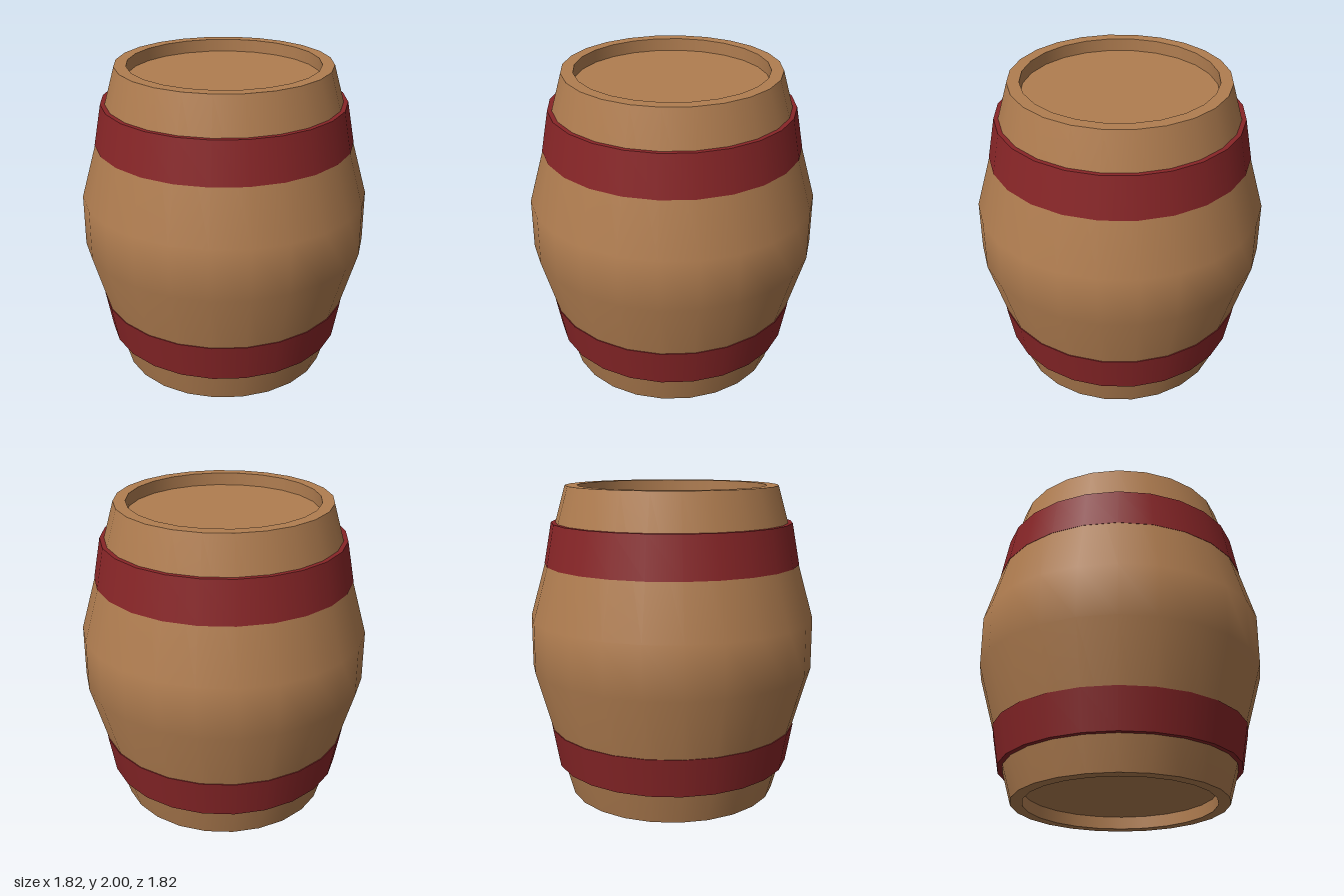
import * as THREE from 'three';
import { mergeGeometries } from 'three/addons/utils/BufferGeometryUtils.js';

const SIDES = 24;

// Revolves each strip of [radius, y] points separately, so edges between strips stay sharp.
function revolve(name, material, strips) {
  const parts = strips.map((strip) =>
    new THREE.LatheGeometry(strip.map(([r, y]) => new THREE.Vector2(r, y)), SIDES));
  const mesh = new THREE.Mesh(mergeGeometries(parts), material);
  mesh.name = name;
  return mesh;
}

export function createModel() {
  const wood = new THREE.MeshStandardMaterial({ color: 0xb07d50 });
  wood.name = 'wood';
  const redHoop = new THREE.MeshStandardMaterial({ color: 0x872527 });
  redHoop.name = 'red hoop';

  const END = 0.675, BELLY = 0.91, LIP = 0.6, RECESS = 0.08;
  const barrel = new THREE.Group();
  barrel.name = 'barrel';

  // Bulging staves, smooth from end to end
  barrel.add(revolve('staves', wood, [
    [[END, 0], [BELLY, 0.84], [BELLY, 1.17], [END, 2]],
  ]));

  // Flat rim, recess wall and sunken lid at each end
  barrel.add(revolve('topHead', wood, [
    [[END, 2], [LIP, 2]],
    [[LIP, 2], [LIP, 2 - RECESS]],
    [[LIP, 2 - RECESS], [0, 2 - RECESS]],
  ]));
  barrel.add(revolve('bottomHead', wood, [
    [[0, RECESS], [LIP, RECESS]],
    [[LIP, RECESS], [LIP, 0]],
    [[LIP, 0], [END, 0]],
  ]));

  // Tapered hoops: lower edge, outer band, upper edge
  const hoops = [
    ['upperHoop', [0.816, 1.51], [0.768, 1.77]],
    ['lowerHoop', [0.764, 0.205], [0.808, 0.455]],
  ];
  for (const [name, low, high] of hoops) {
    barrel.add(revolve(name, redHoop, [
      [[0.7, low[1]], low],
      [low, high],
      [high, [0.7, high[1]]],
    ]));
  }
  return barrel;
}
